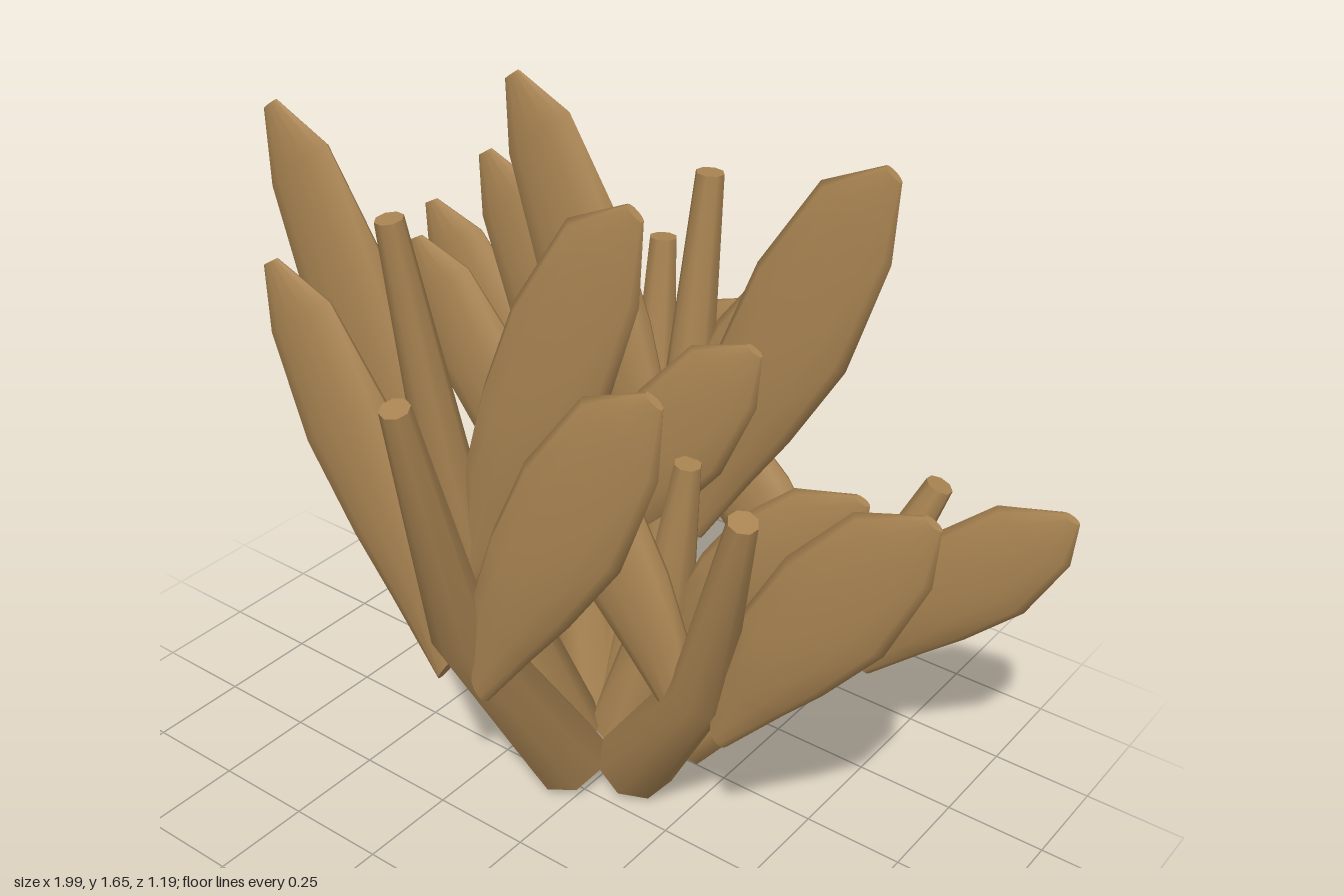
import * as THREE from 'three';

const V = (x, y, z) => new THREE.Vector3(x, y, z);

// Smooth skin through elliptical rings {c, u, v}, with flat caps at both ends
function loft(rings, sides) {
  const pos = [], idx = [];
  const axis = rings[1].c.clone().sub(rings[0].c);
  const flip = rings[0].u.clone().cross(rings[0].v).dot(axis) < 0 ? -1 : 1;
  const addRing = r => {
    const start = pos.length / 3;
    for (let i = 0; i < sides; i++) {
      const a = flip * i / sides * Math.PI * 2;
      const p = r.c.clone().addScaledVector(r.u, Math.cos(a)).addScaledVector(r.v, Math.sin(a));
      pos.push(p.x, p.y, p.z);
    }
    return start;
  };
  const starts = rings.map(addRing);
  for (let k = 0; k + 1 < starts.length; k++) {
    for (let i = 0; i < sides; i++) {
      const j = (i + 1) % sides, a = starts[k], b = starts[k + 1];
      idx.push(a + i, a + j, b + j, a + i, b + j, b + i);
    }
  }
  const cap = (r, end) => {
    const s = addRing(r), m = pos.length / 3;
    pos.push(r.c.x, r.c.y, r.c.z);
    for (let i = 0; i < sides; i++) {
      const j = (i + 1) % sides;
      if (end) idx.push(m, s + i, s + j); else idx.push(m, s + j, s + i);
    }
  };
  cap(rings[0], false);
  cap(rings[rings.length - 1], true);
  const g = new THREE.BufferGeometry();
  g.setAttribute('position', new THREE.Float32BufferAttribute(pos, 3));
  g.setIndex(idx);
  g.computeVertexNormals();
  return g;
}

// Leaf stations: lower edge x, y, upper edge x, y, half thickness (y relative to leaf top)
const LEAF = [
  [0.07, 0.352, 0.03, 0.40, 0.022],
  [0.20, 0.475, 0.045, 0.56, 0.037],
  [0.30, 0.565, 0.10, 0.68, 0.046],
  [0.43, 0.70, 0.19, 0.82, 0.045],
  [0.517, 0.87, 0.335, 0.958, 0.032],
  [0.524, 0.982, 0.485, 1.0, 0.01],
];

function leafGeometry(side, top) {
  return loft(LEAF.map(([x0, y0, x1, y1, t]) => {
    const lo = V(side * x0, y0 * top, 0), hi = V(side * x1, y1 * top, 0);
    return { c: lo.clone().add(hi).multiplyScalar(0.5), u: hi.clone().sub(lo).multiplyScalar(0.5), v: V(0, 0, t) };
  }), 12);
}

// Bent, tapering stem leaning outward by (dx, dz) at its middle
function stemGeometry(dx, dz, h) {
  const pts = [V(0.33 * dx, 0.05, 0.33 * dz), V(dx, 0.5 * h, dz), V(1.3 * dx, h - 0.01, 1.3 * dz)];
  const radii = [0.1, 0.07, 0.033];
  const u = V(dz, 0, -dx).normalize();
  return loft(pts.map((c, i) => {
    const t = pts[Math.min(i + 1, 2)].clone().sub(pts[Math.max(i - 1, 0)]).normalize();
    const v = t.clone().cross(u).normalize();
    return { c, u: u.clone().multiplyScalar(radii[i]), v: v.multiplyScalar(radii[i]) };
  }), 8);
}

// Shoots: x and z of the leaf pair, stem height
const SHOOTS = [
  [-0.28, 0.125, 1.5], [0.01, -0.36, 1.5],
  [-0.045, 0.375, 1.29], [-0.11, -0.395, 1.29],
  [0.405, 0.10, 1.08], [-0.385, -0.49, 1.08], [-0.255, -0.29, 1.08],
  [-0.475, -0.15, 0.87], [0.465, -0.43, 0.87], [0.08, -0.22, 0.87],
];

export function createModel() {
  const plant = new THREE.Group();
  plant.name = 'plant';
  const mat = new THREE.MeshStandardMaterial({ color: 0xa98452 });
  const cx = -0.07, cz = -0.2; // root centre
  SHOOTS.forEach(([x, z, h], i) => {
    const shoot = new THREE.Group();
    shoot.name = `shoot${i + 1}`;
    const stem = new THREE.Mesh(stemGeometry(x - cx, z - cz, h), mat);
    stem.name = 'stem';
    stem.position.set(cx, 0, cz);
    shoot.add(stem);
    for (const side of [-1, 1]) {
      const leaf = new THREE.Mesh(leafGeometry(side, h * 1.087), mat);
      leaf.name = side > 0 ? 'leftLeaf' : 'rightLeaf';
      leaf.position.set(x, 0, z);
      shoot.add(leaf);
    }
    plant.add(shoot);
  });
  return plant;
}
